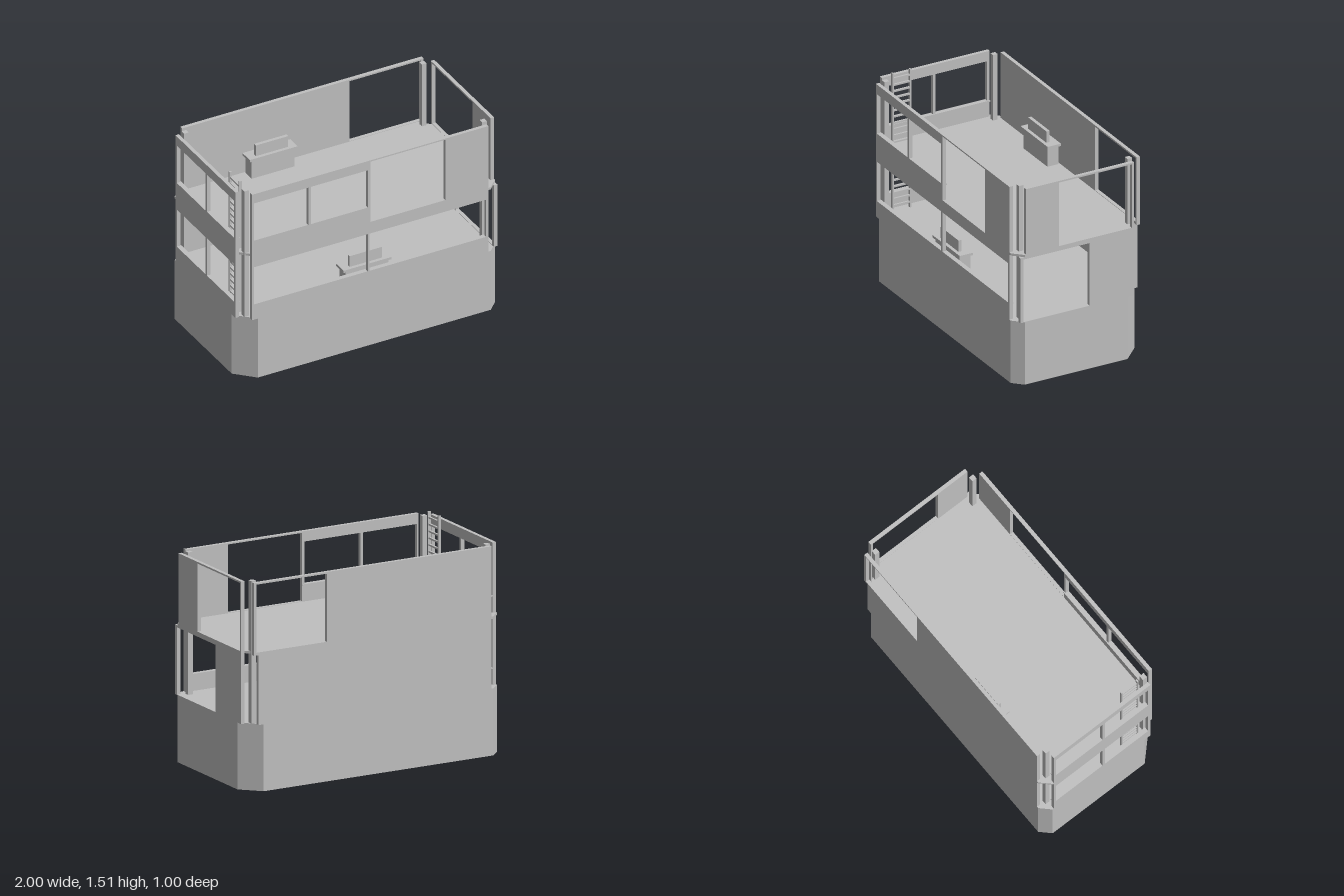
import * as THREE from 'three';

const grey = new THREE.MeshStandardMaterial({ color: 0xc0c0c0 });
grey.name = 'plain grey';

const WALL = 0.027, BASE = 0.47, DECK = 0.977, TOP = 1.47;

function polygon(points) {
  return new THREE.Shape(points.map(([x, y]) => new THREE.Vector2(x, y)));
}

function cut(shape, holes) {
  for (const [a, b, c, d] of holes) {
    const p = [[a, b], [a, d], [c, d], [c, b]].map(([x, y]) => new THREE.Vector2(x, y));
    shape.holes.push(new THREE.Path(p));
  }
  return shape;
}

const extrude = (shape, depth) => new THREE.ExtrudeGeometry(shape, { depth, bevelEnabled: false });

export function createModel() {
  const model = new THREE.Group();

  function add(name, geometry, parent = model) {
    const mesh = new THREE.Mesh(geometry, grey);
    mesh.name = name;
    parent.add(mesh);
    return mesh;
  }

  // box given by its minimum and maximum corners
  function box(name, x0, x1, y0, y1, z0, z1, parent) {
    const g = new THREE.BoxGeometry(x1 - x0, y1 - y0, z1 - z0);
    add(name, g, parent).position.set((x0 + x1) / 2, (y0 + y1) / 2, (z0 + z1) / 2);
  }

  // plan outline with two wide and two narrow chamfered corners
  const plan = () => {
    const w = 0.13, n = 0.07;
    return polygon([
      [-1 + w, -0.5], [1 - n, -0.5], [1, -0.5 + n], [1, 0.5 - w],
      [1 - w, 0.5], [-1 + n, 0.5], [-1, 0.5 - n], [-1, -0.5 + w],
    ]);
  };

  // solid base
  add('base', extrude(plan(), BASE).rotateX(-Math.PI / 2));

  // upper floor with a hatch for the ladder
  const slab = cut(plan(), [[-0.95, -0.455, -0.625, -0.12]]);
  add('upperFloor', extrude(slab, 0.017).rotateX(-Math.PI / 2).translate(0, 0.96, 0));

  // front wall: ribbon windows and an opening upstairs
  const front = cut(polygon([[-0.915, BASE], [0.912, BASE], [0.912, TOP], [-0.915, TOP]]), [
    [-0.9, 0.592, -0.02, 0.888], [-0.005, 0.592, 0.895, 0.888],
    [-0.9, 1.1, -0.48, 1.397], [-0.46, 1.1, -0.02, 1.397],
    [0, 0.98, 0.58, 1.46],
  ]);
  add('frontWall', extrude(front, WALL).translate(0, 0, 0.5 - WALL));

  // back wall: closed apart from the upstairs corner opening
  const back = cut(polygon([
    [-0.918, BASE], [0.91, BASE], [0.91, 0.96], [0.945, 0.96], [0.945, TOP], [-0.918, TOP],
  ]), [[0.375, 0.98, 0.925, 1.458]]);
  add('backWall', extrude(back, WALL).translate(0, 0, -0.5));

  // side walls are drawn as (z, y)
  const sideWall = (name, shape, x1) =>
    add(name, extrude(shape, WALL).rotateY(-Math.PI / 2).translate(x1, 0, 0));

  const left = cut(polygon([
    [-0.42, BASE], [0.465, BASE], [0.465, 0.96], [0.42, 0.96], [0.42, TOP], [-0.42, TOP],
  ]), [[-0.075, 0.473, 0.44, 0.945], [-0.403, 0.98, 0.165, 1.458]]);
  sideWall('leftWall', left, 1);

  const right = cut(polygon([[-0.42, BASE], [0.42, BASE], [0.42, TOP], [-0.42, TOP]]), [
    [-0.4, 0.592, 0.003, 0.888], [0.023, 0.592, 0.4, 0.888],
    [-0.4, 1.1, 0.003, 1.397], [0.023, 1.1, 0.4, 1.397],
  ]);
  sideWall('rightWall', right, -1 + WALL);

  // slim inner sills
  for (const y of [0.582, 1.09]) {
    box('sideSill', -0.975, -0.965, y, y + 0.01, -0.42, 0.42);
    box('frontSill', -0.91, y > 1 ? 0 : 0.91, y, y + 0.01, 0.465, 0.475);
  }

  // corner columns through both storeys
  for (const x of [-0.922, 0.916]) {
    for (const z of [-0.425, 0.42]) {
      box('cornerColumn', x - 0.018, x + 0.018, BASE, TOP, z - 0.018, z + 0.018);
    }
  }

  // desks with a screen: cabinet, top and upright panel
  function desk(name, x, y, z, side) {
    const g = new THREE.Group();
    g.name = name;
    box('cabinet', -0.165, 0.165, 0, 0.142, -0.045, 0.042, g);
    box('deskTop', -0.185, 0.185, 0.142, 0.16, -0.052, 0.052, g);
    box('screen', -0.125, 0.125, 0.16, 0.245, 0.002, 0.027, g);
    g.position.set(x, y, z);
    g.rotation.y = side > 0 ? 0 : Math.PI;
    model.add(g);
  }
  desk('upperDesk', -0.27, DECK, -0.417, 1);
  desk('lowerDesk', -0.005, BASE, 0.418, 1);

  // ladder from the base to above the wall tops
  const ladder = new THREE.Group();
  ladder.name = 'ladder';
  model.add(ladder);
  for (const z of [0.218, 0.354]) {
    box('ladderRail', -0.94, -0.92, BASE, 1.51, z, z + 0.012, ladder);
  }
  for (let y = 0.505; y < 1.47; y += 0.0478) {
    box('rung', -0.937, -0.923, y, y + 0.012, 0.228, 0.356, ladder);
  }
  return model;
}
